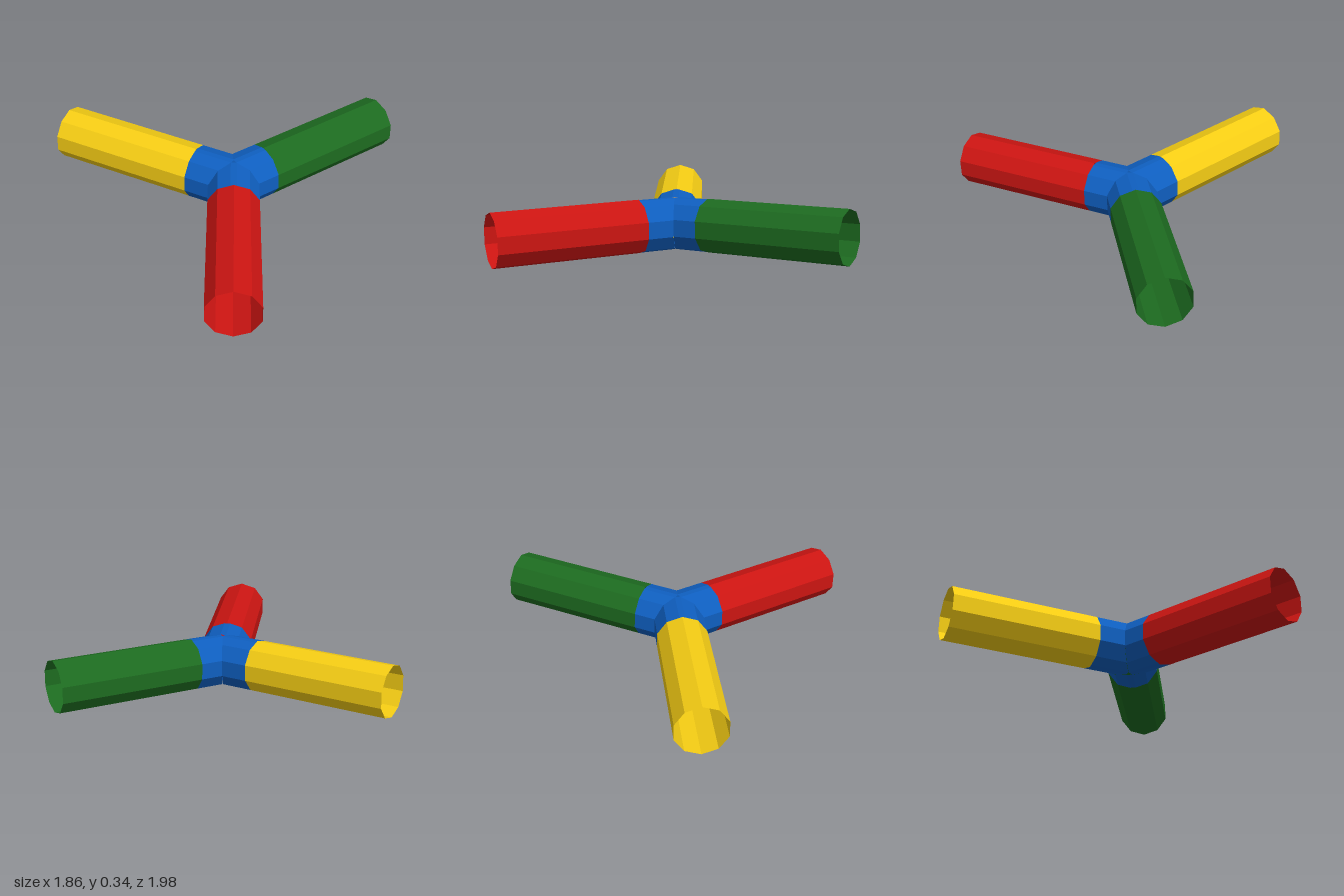
import * as THREE from 'three';

const RADIUS = 0.152;
const HUB = new THREE.Vector3(0.161, 0.163, 0.053);

// Each arm: colour, where the hub sleeve stops, and the centre of the open end
const ARMS = [
  { name: 'greenTube', color: 0x1d6b20, sleeve: 0.212, end: new THREE.Vector3(0.475, 0.19, -0.953) },
  { name: 'yellowTube', color: 0xf5cd14, sleeve: 0.241, end: new THREE.Vector3(-0.904, 0.19, 0.286) },
  { name: 'redTube', color: 0xcc1512, sleeve: 0.222, end: new THREE.Vector3(0.81, 0.153, 0.892) },
];

// Ten-sided cross-section with a corner on top, as [up, side] pairs
function section() {
  const pts = [];
  for (let i = 0; i < 10; i++) {
    const a = (i * Math.PI) / 5;
    pts.push([RADIUS * Math.cos(a), RADIUS * Math.sin(a)]);
  }
  return pts;
}

// Same section with the top and bottom corners clipped, leaving small gaps where the sleeves meet
function clippedSection() {
  const pts = section();
  const mix = (a, b) => [a[0] + (b[0] - a[0]) * 0.19, a[1] + (b[1] - a[1]) * 0.19];
  return pts.flatMap((p, i) =>
    i % 5 === 0 ? [mix(p, pts[(i + 9) % 10]), mix(p, pts[(i + 1) % 10])] : [p]);
}

// Open skin between two rings of equal length
function skin(ringA, ringB) {
  const pos = [];
  const n = ringA.length;
  for (let i = 0; i < n; i++) {
    const j = (i + 1) % n;
    for (const p of [ringA[i], ringA[j], ringB[j], ringA[i], ringB[j], ringB[i]]) pos.push(p.x, p.y, p.z);
  }
  const geo = new THREE.BufferGeometry();
  geo.setAttribute('position', new THREE.Float32BufferAttribute(pos, 3));
  geo.computeVertexNormals();
  return geo;
}

function addMesh(group, name, geo, color) {
  const mat = new THREE.MeshStandardMaterial({ color, flatShading: true, side: THREE.DoubleSide });
  const mesh = new THREE.Mesh(geo, mat);
  mesh.name = name;
  group.add(mesh);
}

export function createModel() {
  const group = new THREE.Group();
  group.name = 'threeWayTubeJoint';
  const hub = new THREE.Group();
  hub.name = 'hub';
  group.add(hub);

  const dirs = ARMS.map((arm) => arm.end.clone().sub(HUB).normalize());

  ARMS.forEach((arm, k) => {
    const d = dirs[k];
    const up = new THREE.Vector3(0, 1, 0).addScaledVector(d, -d.y).normalize();
    const side = new THREE.Vector3().crossVectors(d, up);
    const ring = (pts, along) => pts.map((p) => HUB.clone()
      .addScaledVector(d, along(p)).addScaledVector(up, p[0]).addScaledVector(side, p[1]));

    // Mitre: the sleeve ends on the plane halfway to the neighbouring arm
    const mitre = ([, lateral]) => {
      const neighbour = dirs.find((o, i) => i !== k && o.dot(side) * lateral > 0);
      return Math.abs(lateral) / Math.tan(d.angleTo(neighbour) / 2);
    };

    // Blue hub sleeve
    const clipped = clippedSection();
    addMesh(hub, 'hubSleeve', skin(ring(clipped, mitre), ring(clipped, () => arm.sleeve)), 0x0f5fc0);

    // Coloured open tube
    const length = arm.end.distanceTo(HUB);
    const pts = section();
    addMesh(group, arm.name, skin(ring(pts, () => arm.sleeve), ring(pts, () => length)), arm.color);
  });
  return group;
}
